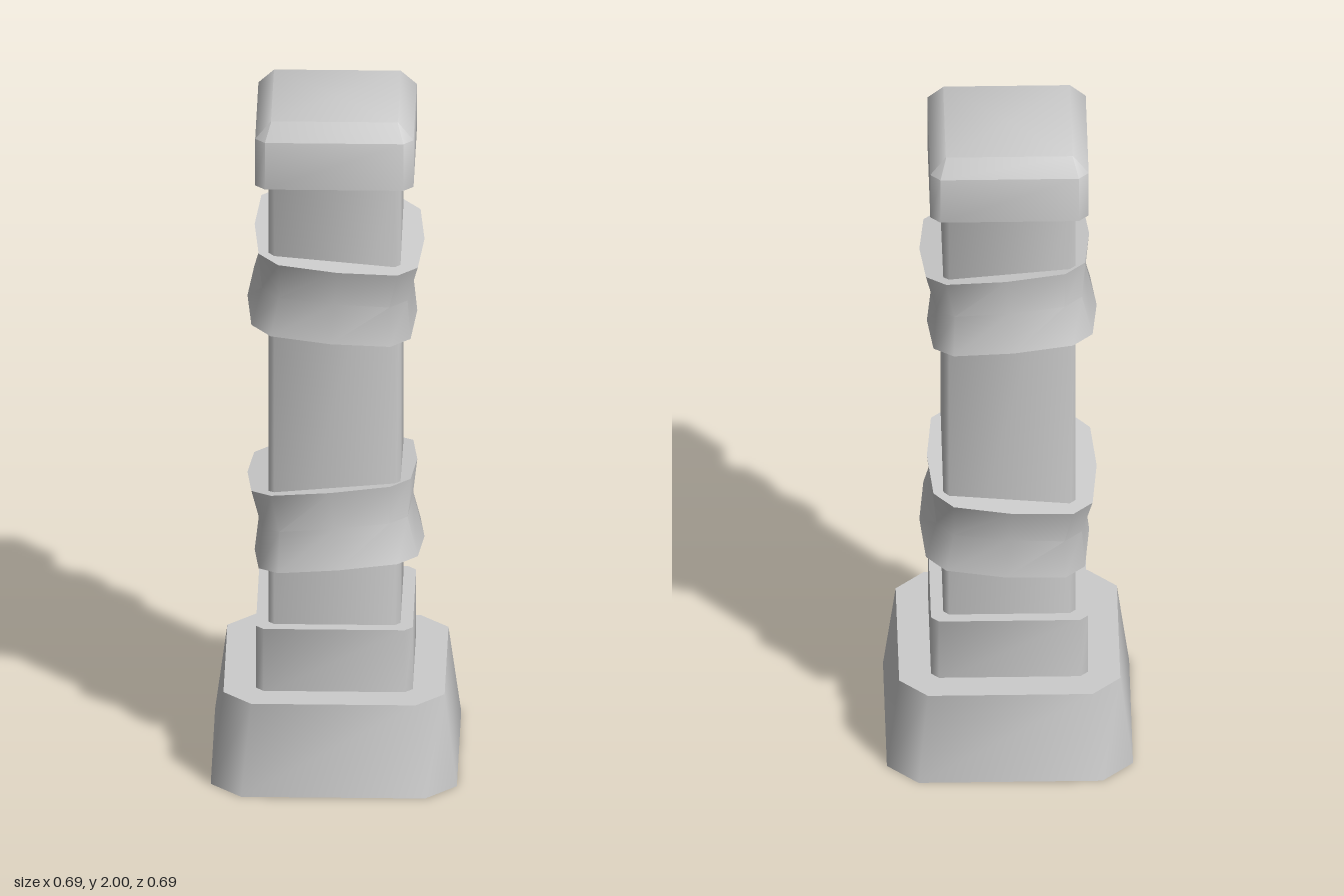
import * as THREE from 'three';
import { toCreasedNormals } from 'three/addons/utils/BufferGeometryUtils.js';

const material = new THREE.MeshStandardMaterial({ color: 0xcccccc });

// Square ring with cut corners; a bulge adds a raised point in the middle of each side.
function ring(y, half, cut, bulge = 0) {
  const points = [];
  for (let k = 0; k < 4; k++) {
    const c = Math.round(Math.cos(k * Math.PI / 2));
    const s = Math.round(Math.sin(k * Math.PI / 2));
    const side = [[half, cut - half], [half, half - cut]];
    if (bulge) side.splice(1, 0, [half + bulge, 0]);
    for (const [a, b] of side) points.push([a * c - b * s, y, a * s + b * c]);
  }
  return points;
}

// Closed solid through a stack of rings, listed from bottom to top.
function loft(name, rings) {
  const pos = [];
  const tri = (...corners) => corners.forEach((p) => pos.push(...p));
  const n = rings[0].length;
  const bottom = rings[0], top = rings[rings.length - 1];
  for (let i = 0; i < n; i++) {
    const j = (i + 1) % n;
    for (let r = 0; r < rings.length - 1; r++) {
      const a = rings[r], b = rings[r + 1];
      tri(a[i], b[i], a[j]);
      tri(a[j], b[i], b[j]);
    }
    tri([0, bottom[0][1], 0], bottom[i], bottom[j]);
    tri([0, top[0][1], 0], top[j], top[i]);
  }
  const geometry = new THREE.BufferGeometry();
  geometry.setAttribute('position', new THREE.Float32BufferAttribute(pos, 3));
  const mesh = new THREE.Mesh(toCreasedNormals(geometry, 0.82), material);
  mesh.name = name;
  return mesh;
}

// Waisted wrap, tilted diagonally around the shaft.
function band(name, y, tilt) {
  const mesh = loft(name, [
    ring(-0.115, 0.224, 0.056, 0.015),
    ring(0, 0.205, 0.05, 0.01),
    ring(0.115, 0.224, 0.056, 0.015),
  ]);
  mesh.position.y = y;
  mesh.rotation.set(tilt, 0, -tilt);
  return mesh;
}

export function createModel() {
  const pillar = new THREE.Group();
  pillar.name = 'pillar';
  pillar.add(
    // Foot and step
    loft('base', [ring(0, 0.345, 0.087), ring(0.27, 0.31, 0.079)]),
    loft('step', [ring(0.26, 0.22, 0.022), ring(0.46, 0.22, 0.022)]),
    // Shaft with its two wraps
    loft('shaft', [ring(0.45, 0.185, 0.016), ring(1.82, 0.185, 0.016)]),
    band('lowerBand', 0.747, -0.09),
    band('upperBand', 1.475, 0.09),
    // Bevelled cap
    loft('cap', [ring(1.81, 0.222, 0.028), ring(1.953, 0.222, 0.028), ring(2, 0.178, 0.001)]),
  );
  return pillar;
}
